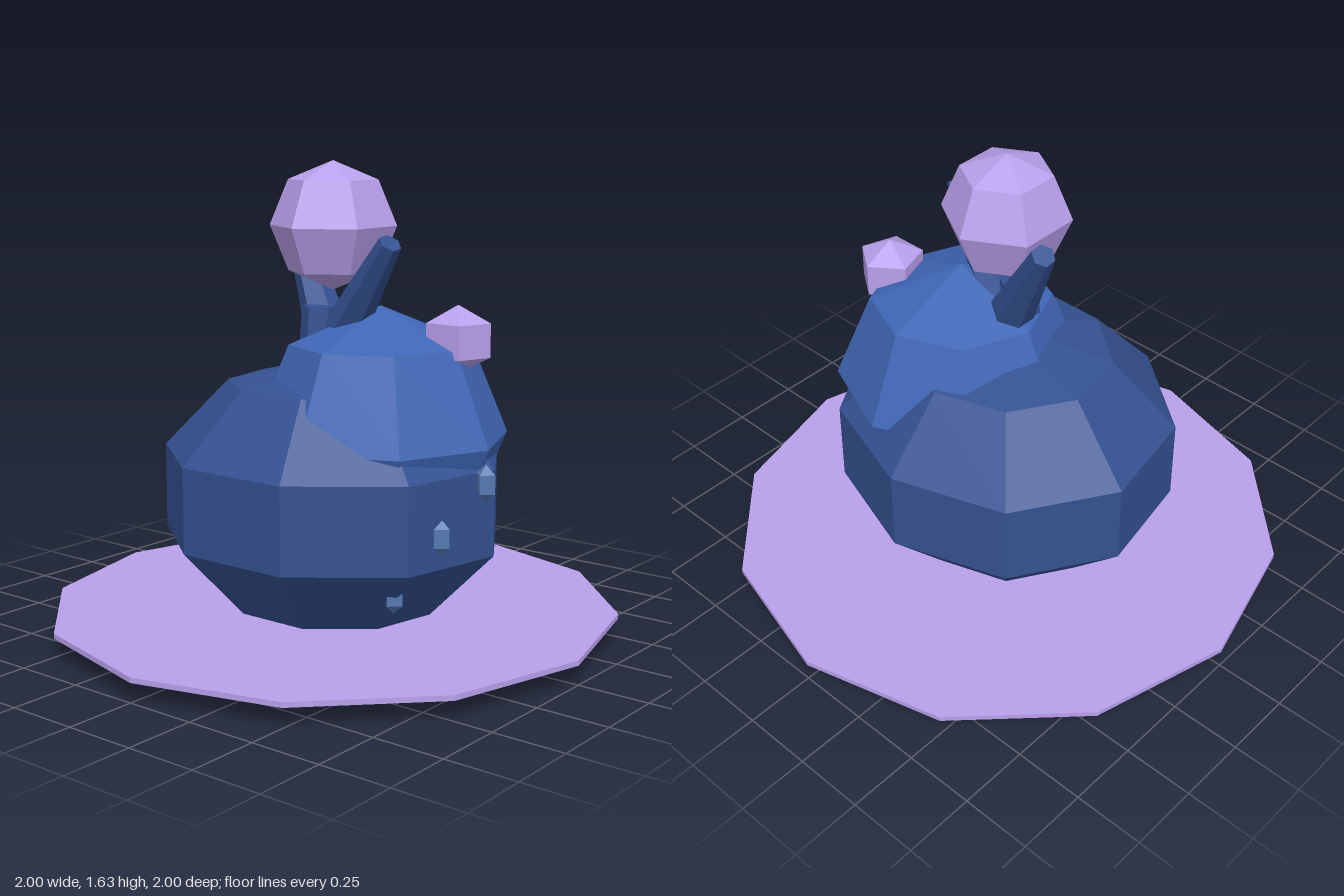
import * as THREE from 'three';

const paint = (color) => new THREE.MeshStandardMaterial({ color, flatShading: true });

export function createModel() {
  const model = new THREE.Group();
  const lilac = paint(0xb9a0ec), darkBlue = paint(0x345191), midBlue = paint(0x3f66b5);
  const slate = paint(0x273650), paleBlue = paint(0x5578b0);

  const add = (name, geometry, material, position) => {
    const mesh = new THREE.Mesh(geometry, material);
    mesh.name = name;
    mesh.position.set(...position);
    model.add(mesh);
    return mesh;
  };

  // Low-poly ellipsoid with one column of corners facing the back
  const blob = (name, radii, sides, rows, material, position) => {
    const geometry = new THREE.SphereGeometry(1, sides, rows);
    geometry.rotateY(-Math.PI / 2).scale(...radii);
    return add(name, geometry, material, position);
  };

  // Tapered branch running between two points
  const branch = (name, from, to, baseRadius, tipRadius) => {
    const a = new THREE.Vector3(...from), b = new THREE.Vector3(...to);
    const axis = b.clone().sub(a);
    const mesh = add(name, new THREE.CylinderGeometry(tipRadius, baseRadius, axis.length(), 6),
      darkBlue, a.clone().add(b).multiplyScalar(0.5).toArray());
    mesh.quaternion.setFromUnitVectors(new THREE.Vector3(0, 1, 0), axis.normalize());
  };

  // Twelve-sided platter and its darker underside
  add('platter', new THREE.CylinderGeometry(1, 1, 0.018, 12), lilac, [0, 0.074, 0]);
  add('platterUnderside', new THREE.CylinderGeometry(0.89, 0.89, 0.026, 12), slate, [0, 0.053, 0]);

  // Rounded body and the offset mound on top
  blob('body', [0.65, 0.482, 0.6], 9, 5, darkBlue, [0, 0.482, 0]);
  blob('mound', [0.445, 0.445, 0.445], 8, 4, midBlue, [0.175, 0.705, -0.04]);

  // Branches spreading from the top
  branch('leftBranch', [0, 0.98, 0], [0.307, 1.375, 0.085], 0.085, 0.04);
  branch('rightBranch', [0, 0.98, 0], [-0.258, 1.415, -0.11], 0.085, 0.04);
  branch('stem', [-0.03, 0.93, 0.03], [-0.03, 1.14, 0.03], 0.08, 0.065);

  // Large and small berries
  blob('topBerry', [0.22, 0.22, 0.22], 6, 4, lilac, [0, 1.415, 0]);
  blob('sideBerry', [0.13, 0.115, 0.13], 5, 3, lilac, [0.443, 1.05, -0.113]);

  // Droplets trailing down the side
  [[0.665, 0.617, 0.043], [0.557, 0.44, 0.14], [0.437, 0.245, 0.23]].forEach((position, i) =>
    blob(`droplet${i + 1}`, [0.042, 0.063, 0.042], 4, 3, paleBlue, position));

  return model;
}
